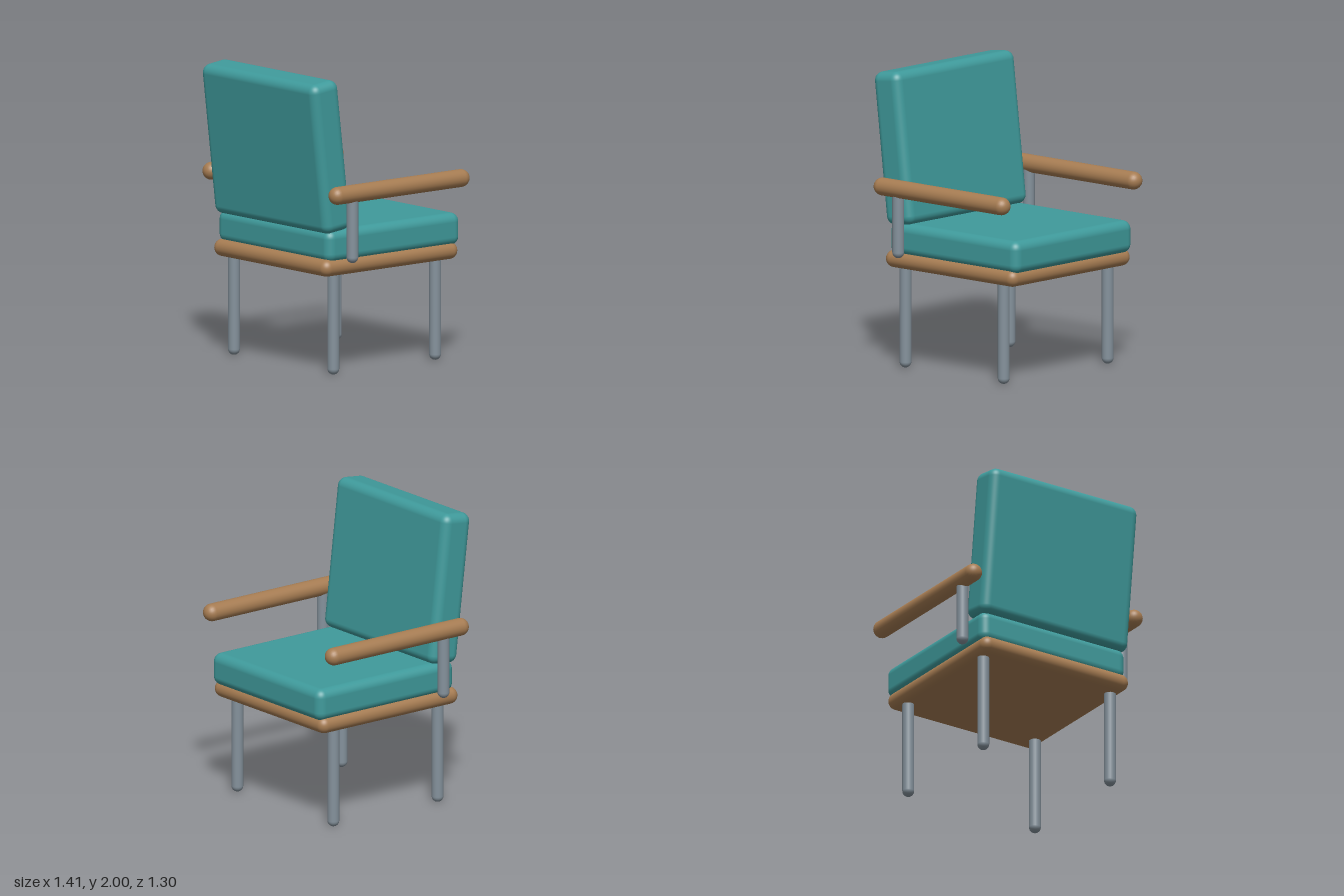
import * as THREE from 'three';
import { RoundedBoxGeometry } from 'three/addons/geometries/RoundedBoxGeometry.js';

export function createModel() {
  const chair = new THREE.Group();
  chair.name = 'armchair';

  const fabric = new THREE.MeshStandardMaterial({ color: 0x3f9a9b });
  const wood = new THREE.MeshStandardMaterial({ color: 0xa67c52 });
  const metal = new THREE.MeshStandardMaterial({ color: 0x84919b });

  const add = (name, geometry, material, x, y, z) => {
    const mesh = new THREE.Mesh(geometry, material);
    mesh.name = name;
    mesh.position.set(x, y, z);
    chair.add(mesh);
    return mesh;
  };

  // Round-ended rod of a given overall length
  const rod = (radius, length) =>
    new THREE.CapsuleGeometry(radius, length - 2 * radius, 8, 24);

  // Upholstery: seat cushion and reclined back cushion
  add('seatCushion', new RoundedBoxGeometry(1.16, 0.22, 1.165, 6, 0.06), fabric, 0, 0.875, -0.068);
  const back = add('backCushion', new RoundedBoxGeometry(1.18, 1.03, 0.235, 6, 0.06), fabric, 0, 1.482, 0.482);
  back.rotation.x = 0.12;

  // Seat frame with fully rounded edges
  add('seatFrame', new RoundedBoxGeometry(1.18, 0.116, 1.185, 6, 0.0575), wood, 0, 0.732, -0.04);

  const legGeometry = rod(0.04, 0.74);
  const postGeometry = rod(0.04, 0.48);
  const armGeometry = rod(0.06, 1.2).rotateX(Math.PI / 2);

  for (const [side, s] of [['left', 1], ['right', -1]]) {
    // Legs under the frame
    add(side + 'BackLeg', legGeometry, metal, s * 0.51, 0.37, 0.417);
    add(side + 'FrontLeg', legGeometry, metal, s * 0.51, 0.37, -0.475);
    // Armrest held by a single post at the back
    add(side + 'ArmPost', postGeometry, metal, s * 0.641, 1.005, 0.362);
    add(side + 'Armrest', armGeometry, wood, s * 0.647, 1.235, -0.042);
  }

  return chair;
}
